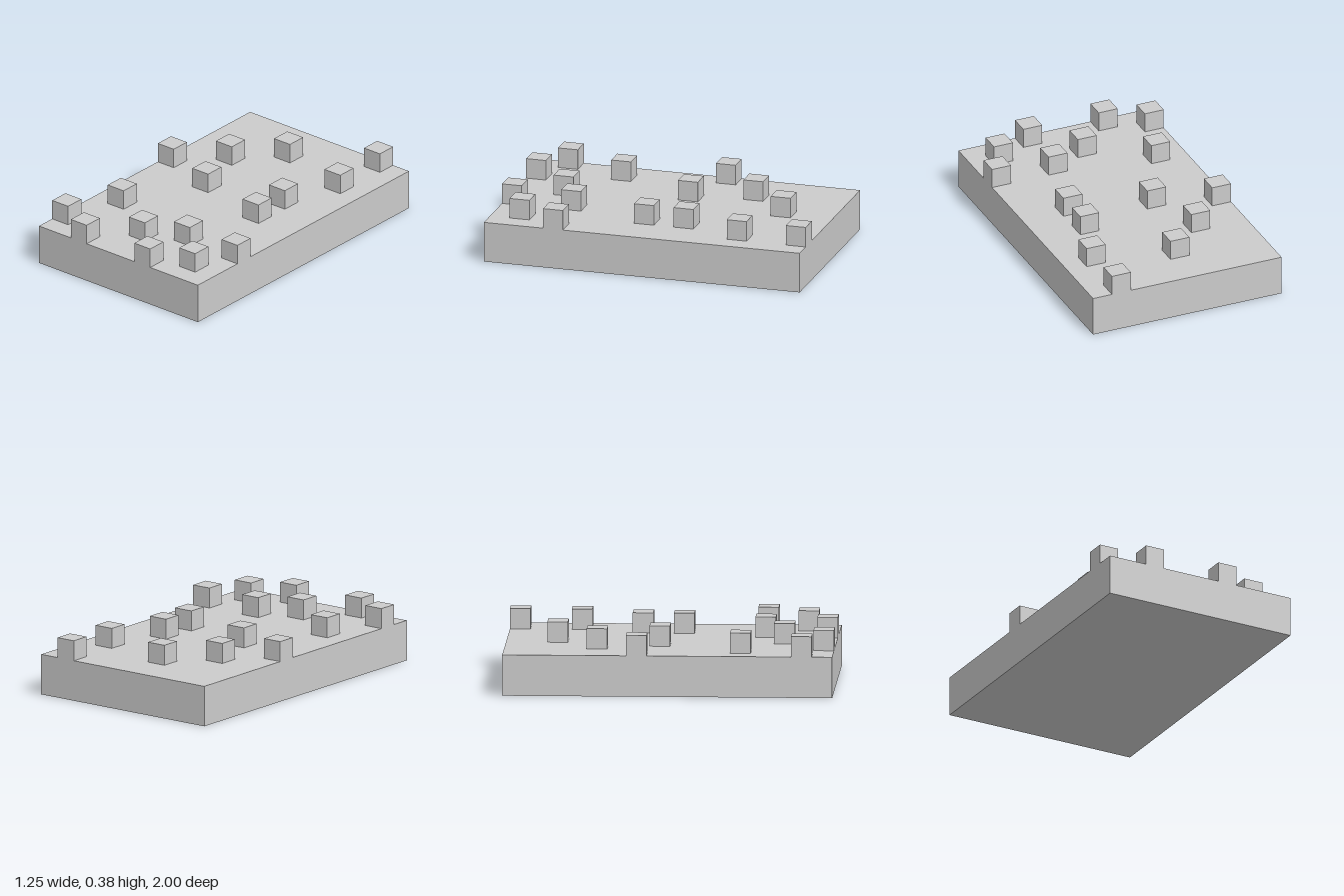
import * as THREE from 'three';

const CELL = 0.125;          // everything sits on a 10 x 16 grid of cells
const COLS = 10, ROWS = 16, BASE_LAYERS = 2;

// [column, row] of each raised cube, counted from the back right corner
const STUDS = [
  [8, 0], [4, 2], [8, 3], [2, 4], [0, 6], [7, 6], [3, 7], [7, 8],
  [1, 11], [6, 12], [9, 12], [4, 13], [0, 14], [8, 14], [2, 15], [6, 15],
];

export function createModel() {
  const model = new THREE.Group();
  model.name = 'studdedSlab';
  const material = new THREE.MeshStandardMaterial({ color: 0xcccccc, flatShading: true });

  // Solid base slab
  const height = BASE_LAYERS * CELL;
  const slab = new THREE.Mesh(new THREE.BoxGeometry(COLS * CELL, height, ROWS * CELL), material);
  slab.name = 'baseSlab';
  slab.position.y = height / 2;
  model.add(slab);

  // Cubes scattered over the top
  const cubes = new THREE.Group();
  cubes.name = 'surfaceCubes';
  const cubeGeometry = new THREE.BoxGeometry(CELL, CELL, CELL);
  STUDS.forEach(([col, row], i) => {
    const cube = new THREE.Mesh(cubeGeometry, material);
    cube.name = `surfaceCube${i + 1}`;
    cube.position.set(
      (col + 0.5 - COLS / 2) * CELL,
      height + CELL / 2,
      (row + 0.5 - ROWS / 2) * CELL,
    );
    cubes.add(cube);
  });
  model.add(cubes);

  return model;
}
